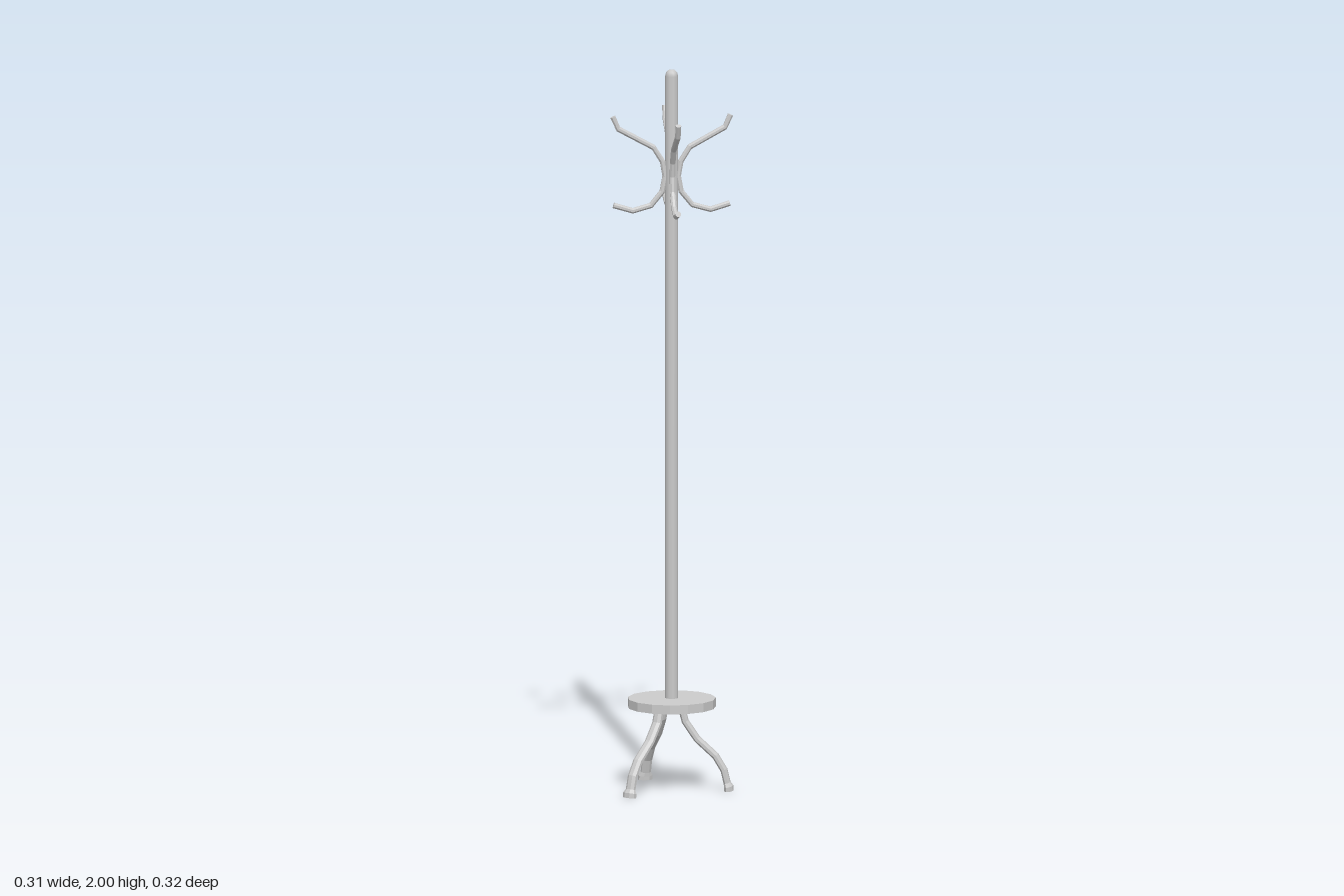
import * as THREE from 'three';

const flat = () => new THREE.MeshStandardMaterial({ color: 0xcccccc, flatShading: true });
const smooth = () => new THREE.MeshStandardMaterial({ color: 0xcccccc });

// Sweeps an elliptical section along sections [radius, height, halfThickness, halfWidth] in the xy plane.
function sweep(sections, sides) {
  const pos = [], index = [];
  const n = sections.length;
  sections.forEach(([x, y, t, w], i) => {
    const a = sections[Math.max(i - 1, 0)], b = sections[Math.min(i + 1, n - 1)];
    const len = Math.hypot(b[0] - a[0], b[1] - a[1]);
    const tx = (b[0] - a[0]) / len, ty = (b[1] - a[1]) / len;
    for (let j = 0; j < sides; j++) {
      const ang = ((j + 0.5) / sides) * Math.PI * 2;
      const c = Math.cos(ang) * t;
      pos.push(x - ty * c, y + tx * c, Math.sin(ang) * w);
    }
  });
  for (let i = 0; i < n - 1; i++) {
    for (let j = 0; j < sides; j++) {
      const k = (j + 1) % sides;
      const a = i * sides + j, b = i * sides + k, c = b + sides, d = a + sides;
      index.push(a, b, c, a, c, d);
    }
  }
  // End caps
  const last = (n - 1) * sides;
  for (let j = 1; j < sides - 1; j++) {
    index.push(0, j + 1, j, last, last + j, last + j + 1);
  }
  const g = new THREE.BufferGeometry();
  g.setAttribute('position', new THREE.Float32BufferAttribute(pos, 3));
  g.setIndex(index);
  g.computeVertexNormals();
  return g;
}

export function createModel() {
  const model = new THREE.Group();
  const add = (name, geometry, material, x, y, z, turn = 0) => {
    const mesh = new THREE.Mesh(geometry, material);
    mesh.name = name;
    mesh.position.set(x, y, z);
    mesh.rotation.y = turn;
    model.add(mesh);
  };
  const poleX = 0.03, poleZ = 0.01;

  // Pole with a small rounded top
  const profile = [[0, 0.235], [0.018, 0.235], [0.018, 1.982], [0.015, 1.993], [0.009, 1.999], [0, 2]]
    .map(([r, y]) => new THREE.Vector2(r, y));
  add('pole', new THREE.LatheGeometry(profile, 10), smooth(), poleX, 0, poleZ);

  // Round base plate, one corner pointing along +x
  add('basePlate', new THREE.CylinderGeometry(0.121, 0.121, 0.025, 15), flat(), poleX, 0.242, poleZ, Math.PI / 2);

  // Four double coat hooks
  const hook = sweep([
    [0.160, 1.626], [0.107, 1.610], [0.057, 1.624], [0.026, 1.662], [0.018, 1.705],
    [0.025, 1.745], [0.050, 1.785], [0.147, 1.838], [0.162, 1.872],
  ].map(([r, y]) => [r, y, 0.008, 0.008]), 8);
  for (let i = 0; i < 4; i++) {
    add('coatHook' + (i + 1), hook, flat(), poleX, 0, poleZ, Math.PI / 4 + (i * Math.PI) / 2);
  }

  // Three curved legs with flared feet
  const leg = sweep([
    [0.169, 0.000, 0.013, 0.021], [0.168, 0.012, 0.013, 0.021], [0.164, 0.022, 0.010, 0.015],
    [0.155, 0.058, 0.010, 0.015], [0.132, 0.096, 0.010, 0.015], [0.081, 0.142, 0.010, 0.015],
    [0.048, 0.190, 0.010, 0.015], [0.036, 0.235, 0.010, 0.015],
  ], 8);
  for (let i = 0; i < 3; i++) {
    add('leg' + (i + 1), leg, flat(), 0.026, 0, 0, Math.PI / 3 + (i * 2 * Math.PI) / 3);
  }
  return model;
}
